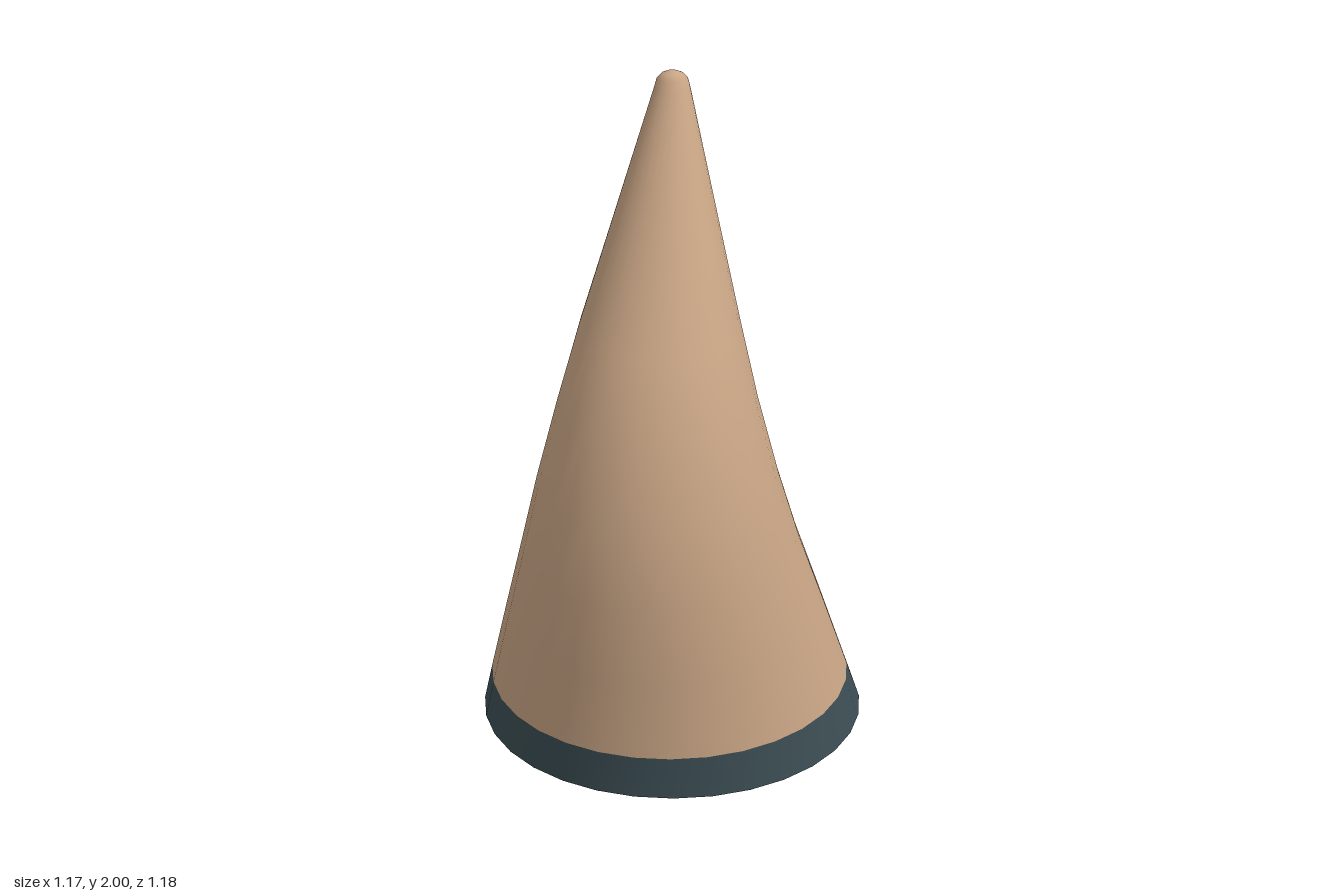
import * as THREE from 'three';

const SIDES = 32;

// Each ring: [height, z centre, radius, tilt (back edge raised, front edge lowered)]
const BASE = [0, 0, 0.585, 0];
const BAND_TOP = [0.142, 0.043, 0.547, 0.008];
const HORN = [
  BAND_TOP,
  [0.39, 0.114, 0.479, 0.022],
  [0.64, 0.187, 0.409, 0.036],
  [0.865, 0.224, 0.35, 0.028],
  [1.105, 0.222, 0.286, 0.02],
  [1.32, 0.188, 0.229, 0.03],
  [1.64, 0.093, 0.139, 0.016],
  [1.955, -0.001, 0.051, 0.002],
];
const TIP = [
  [1.98, -0.003, 0.044, 0],
  [1.994, -0.004, 0.03, 0],
  [2, -0.005, 0.014, 0],
  [2, -0.005, 0, 0],
];

// Skin stacked rings with smooth shared normals
function loft(rings) {
  const positions = [];
  const index = [];
  rings.forEach(([y, c, r, tilt], i) => {
    for (let j = 0; j < SIDES; j++) {
      const a = (j / SIDES) * Math.PI * 2;
      positions.push(r * Math.sin(a), y - tilt * Math.cos(a), c + r * Math.cos(a));
      if (i === rings.length - 1) continue;
      const k = (j + 1) % SIDES;
      const p = i * SIDES + j, q = i * SIDES + k;
      index.push(p, q, q + SIDES, p, q + SIDES, p + SIDES);
    }
  });
  const geometry = new THREE.BufferGeometry();
  geometry.setAttribute('position', new THREE.Float32BufferAttribute(positions, 3));
  geometry.setIndex(index);
  geometry.computeVertexNormals();
  return geometry;
}

export function createModel() {
  const group = new THREE.Group();
  const material = (name, color) => {
    const m = new THREE.MeshStandardMaterial({ color });
    m.name = name;
    return m;
  };
  const tan = material('tan', 0xc9a585);
  const slate = material('slate', 0x3c4e54);
  const leather = material('reddish brown', 0x75463f);

  const add = (name, geometry, mat) => {
    const mesh = new THREE.Mesh(geometry, mat);
    mesh.name = name;
    group.add(mesh);
    return mesh;
  };

  // Bent horn body with a rounded tip
  add('hornBody', loft([...HORN, ...TIP]), tan);

  // Hollow inside, a scaled copy turned inwards
  const thin = ([y, c, r, tilt]) => [y, c, r * 0.855, tilt];
  const inner = [BASE, ...HORN].map(thin);
  inner.push([1.96, -0.002, 0, 0]);
  add('hornInside', loft(inner.reverse()), tan);

  // Base band and the flat rim under it
  add('baseBand', loft([BASE, BAND_TOP]), slate);
  add('baseRim', loft([thin(BASE), BASE]), slate);

  // Carrying strap arching behind the horn
  const path = new THREE.CatmullRomCurve3([
    [-0.003, 1.765, -0.03],
    [-0.01, 1.69, -0.14],
    [-0.014, 1.56, -0.268],
    [-0.016, 1.34, -0.41],
    [-0.01, 1.0, -0.485],
    [-0.004, 0.78, -0.448],
    [0.002, 0.64, -0.365],
    [0.006, 0.56, -0.272],
  ].map((p) => new THREE.Vector3(...p)));
  const radius = 0.034;
  add('strap', new THREE.TubeGeometry(path, 40, radius, 12), leather);

  // Flat discs closing both strap ends
  for (const t of [0, 1]) {
    const cap = add(t ? 'strapLowerEnd' : 'strapUpperEnd', new THREE.CircleGeometry(radius, 12), leather);
    const outward = path.getTangent(t).multiplyScalar(t ? 1 : -1);
    cap.position.copy(path.getPoint(t));
    cap.quaternion.setFromUnitVectors(new THREE.Vector3(0, 0, 1), outward);
  }
  return group;
}
